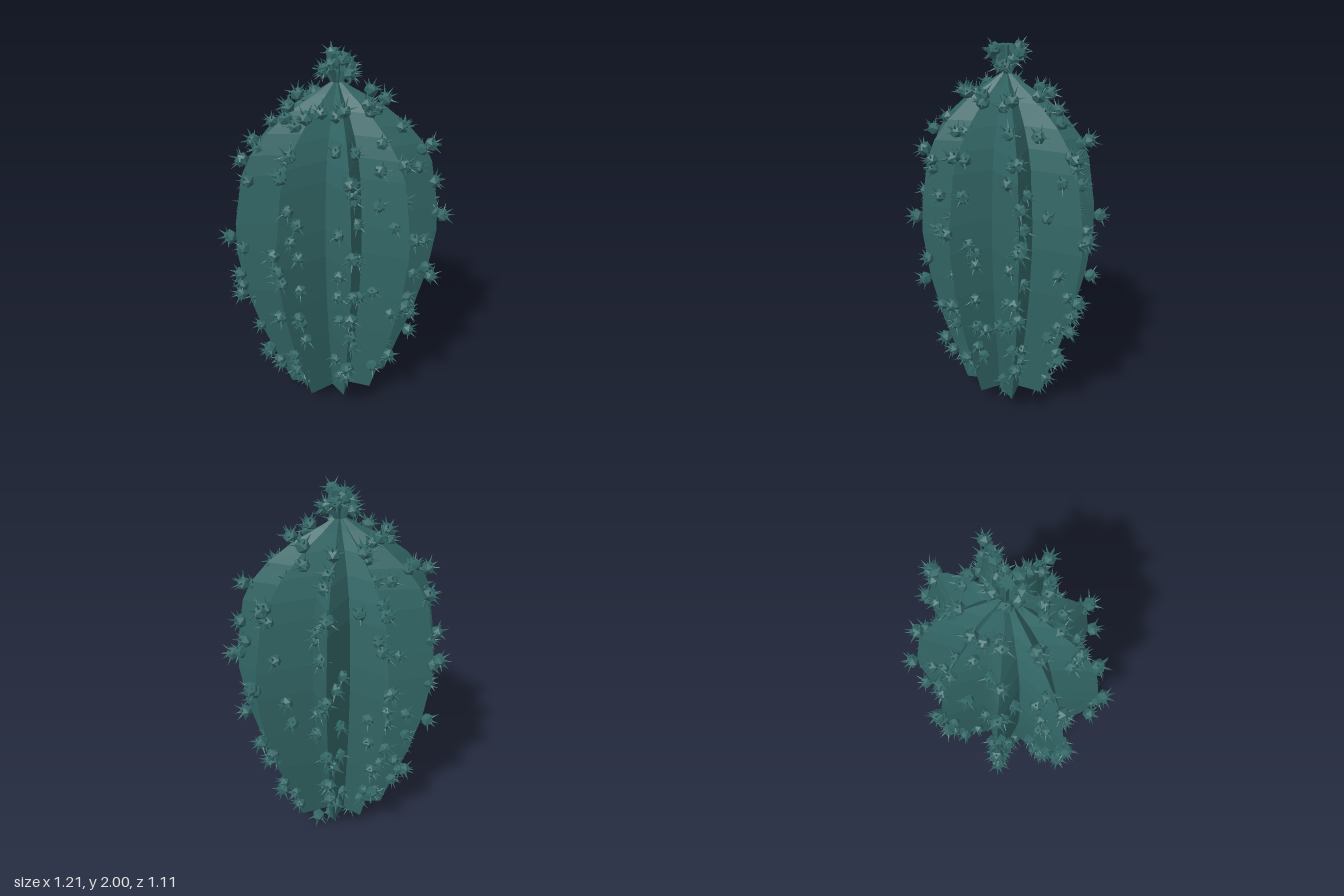
import * as THREE from 'three';
import { mergeGeometries } from 'three/addons/utils/BufferGeometryUtils.js';

const AXIS = new THREE.Vector3(-0.015, 0, 0.01);
// the stem's plan is an ellipse whose long axis is turned about y
const LONG = 0.55, SHORT = 0.445, TURN = Math.PI / 6, VALLEY = 0.56;
const RIBS = [-152, -117, -74, -32, 11, 48, 90, 130, 172];
// radius factor (x) against height (y)
const PROFILE = [[0.51, 0.08], [0.66, 0.3], [0.8, 0.5], [0.93, 0.75], [1, 1], [0.99, 1.15], [0.91, 1.4],
  [0.82, 1.5], [0.66, 1.6], [0.43, 1.7], [0.2, 1.77], [0.06, 1.82], [0.12, 1.88], [0.09, 1.96]];

function radiusAt(y) {
  for (let i = 1; i < PROFILE.length; i++) {
    const [r0, y0] = PROFILE[i - 1], [r1, y1] = PROFILE[i];
    if (y <= y1) return r0 + (r1 - r0) * (y - y0) / (y1 - y0);
  }
  return PROFILE[PROFILE.length - 1][0];
}

// corner k of the star: even = rib crest, odd = valley
function corner(k, y) {
  const n = RIBS.length, i = Math.floor(k / 2) % n;
  const next = i + 1 < n ? RIBS[i + 1] : RIBS[0] + 360;
  const valley = k % 2 === 1;
  const a = THREE.MathUtils.degToRad(valley ? (RIBS[i] + next) / 2 : RIBS[i]);
  const ellipse = 1 / Math.hypot(Math.cos(a - TURN) / LONG, Math.sin(a - TURN) / SHORT);
  const r = radiusAt(y) * ellipse * (valley ? VALLEY : 1);
  return new THREE.Vector3(Math.cos(a) * r, y, -Math.sin(a) * r).add(AXIS);
}

// star-shaped cross-sections stacked into the ribbed stem
function stemGeometry() {
  const n = RIBS.length * 2, pos = [], index = [], rows = PROFILE.length;
  for (const [, y] of PROFILE) for (let k = 0; k < n; k++) pos.push(...corner(k, y).toArray());
  for (let j = 0; j < rows - 1; j++) {
    for (let k = 0; k < n; k++) {
      const a = j * n + k, b = j * n + (k + 1) % n;
      index.push(a, b, b + n, a, b + n, a + n);
    }
  }
  // end caps
  const bottom = pos.length / 3, top = bottom + 1, last = (rows - 1) * n;
  pos.push(AXIS.x, PROFILE[0][1], AXIS.z, AXIS.x, PROFILE[rows - 1][1], AXIS.z);
  for (let k = 0; k < n; k++) {
    const m = (k + 1) % n;
    index.push(bottom, m, k, top, last + k, last + m);
  }
  const g = new THREE.BufferGeometry();
  g.setAttribute('position', new THREE.Float32BufferAttribute(pos, 3));
  g.setIndex(index);
  g.computeVertexNormals();
  return g;
}

// faceted bud with a fan of thin spines, pointing along +y
function budGeometry() {
  const up = new THREE.Vector3(0, 1, 0);
  const parts = [new THREE.IcosahedronGeometry(0.039, 0).scale(1, 0.9, 1)];
  const spine = (tilt, turn, length) => {
    const dir = new THREE.Vector3(Math.sin(tilt) * Math.cos(turn), Math.cos(tilt), Math.sin(tilt) * Math.sin(turn));
    parts.push(new THREE.ConeGeometry(0.007, length, 4).translate(0, length / 2 + 0.022, 0)
      .applyQuaternion(new THREE.Quaternion().setFromUnitVectors(up, dir)).toNonIndexed());
  };
  spine(0, 0, 0.045);
  for (let i = 0; i < 6; i++) spine(i % 2 ? 0.75 : 1.2, i * Math.PI / 3, 0.052);
  return mergeGeometries(parts);
}

export function createModel() {
  const group = new THREE.Group();
  const material = new THREE.MeshStandardMaterial({ color: 0x336666, flatShading: true });
  let seed = 17;
  const random = () => (seed = (seed * 16807) % 2147483647) / 2147483647;

  const stem = new THREE.Mesh(stemGeometry(), material);
  stem.name = 'ribbedStem';
  group.add(stem);

  const geometry = budGeometry(), up = new THREE.Vector3(0, 1, 0);
  const addBud = (parent, name, point, dir, offset, size = 1) => {
    const bud = new THREE.Mesh(geometry, material);
    bud.name = name;
    bud.position.copy(point).addScaledVector(dir, offset);
    bud.quaternion.setFromUnitVectors(up, dir)
      .multiply(new THREE.Quaternion().setFromAxisAngle(up, random() * 6.28));
    bud.scale.setScalar(size);
    parent.add(bud);
  };
  const outward = (p, y) => {
    const slope = (radiusAt(y - 0.04) - radiusAt(y + 0.04)) / 0.08 * 0.5;
    return new THREE.Vector3(p.x - AXIS.x, 0, p.z - AXIS.z).normalize().setY(slope).normalize();
  };

  // spiny buds: a regular row on each crest and scattered ones on its flanks
  const n = RIBS.length * 2;
  for (let i = 0; i < RIBS.length; i++) {
    const rib = new THREE.Group();
    rib.name = 'ribBuds' + (i + 1);
    group.add(rib);
    for (const h of [0.36, 0.73, 1.1, 1.46, 1.7]) {
      const y = h + (random() - 0.5) * 0.04, p = corner(2 * i, y);
      addBud(rib, 'crestBud', p, outward(p, y), 0.03);
    }
    for (let j = 0; j < 18; j++) {
      const y = 0.18 + (j + random()) / 18 * 1.53;
      const side = random() < 0.5 ? 1 : n - 1;
      const p = corner(2 * i, y).lerp(corner((2 * i + side) % n, y), random() * 0.75);
      addBud(rib, 'flankBud', p, outward(p, y), 0.018, 0.85 + random() * 0.15);
    }
  }

  // cluster of buds at the tip
  const crown = new THREE.Group();
  crown.name = 'crownBuds';
  group.add(crown);
  for (let i = 0; i < 9; i++) {
    const a = i * 2.4, y = 1.85 + (i % 4) * 0.026;
    const dir = new THREE.Vector3(Math.cos(a), 0.2, Math.sin(a)).normalize();
    addBud(crown, 'crownBud', new THREE.Vector3(AXIS.x, y, AXIS.z), dir, 0.07, 0.95);
  }

  // buds under the base
  const under = new THREE.Group();
  under.name = 'baseBuds';
  group.add(under);
  for (const [x, z] of [[-0.2, 0.05], [-0.14, -0.02], [-0.09, -0.08], [0.01, -0.14], [0.08, -0.18], [0.12, 0]]) {
    addBud(under, 'baseBud', new THREE.Vector3(x, 0.08, z), new THREE.Vector3(0, -1, 0), 0.014);
  }
  return group;
}
